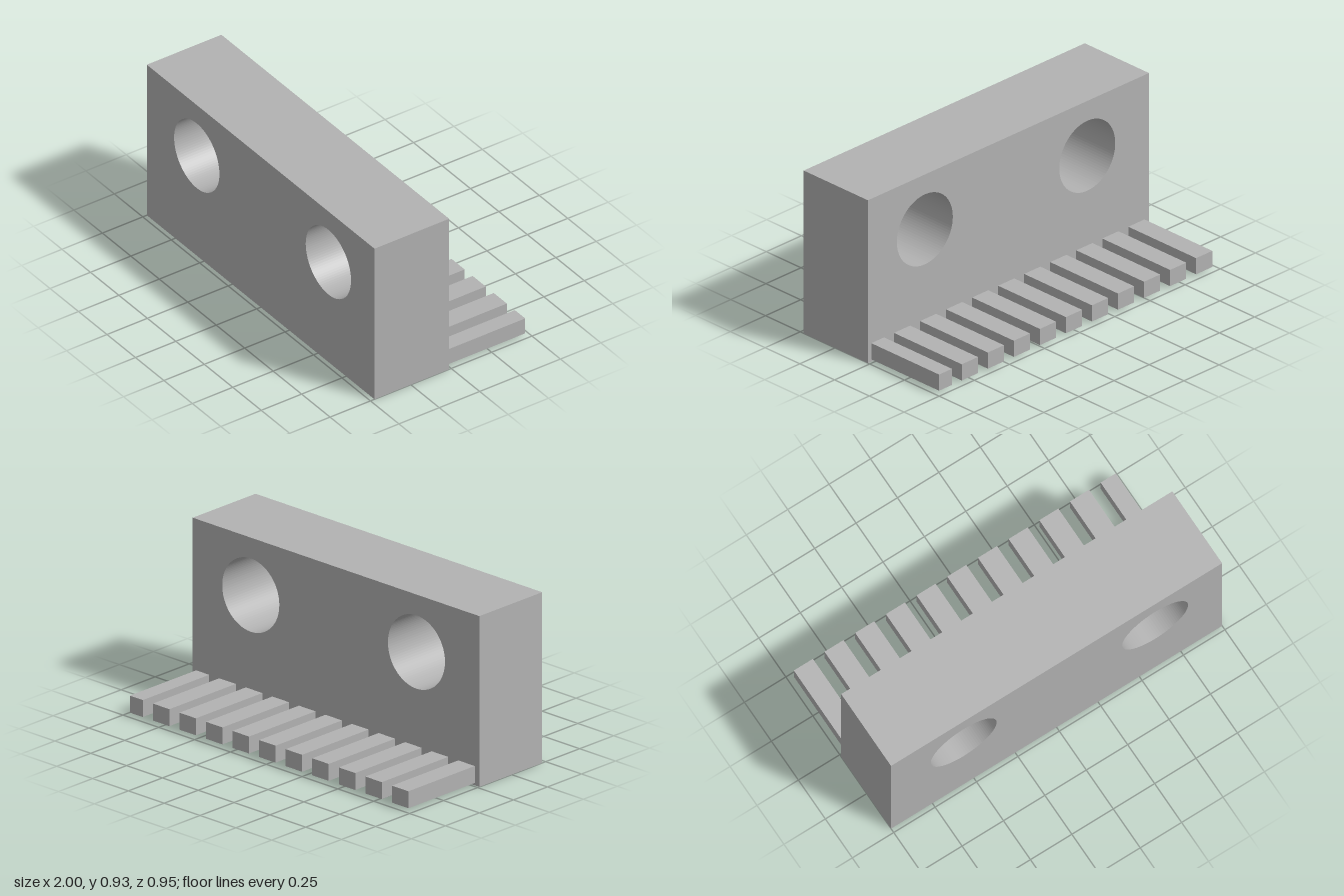
import * as THREE from 'three';

export function createModel() {
  const model = new THREE.Group();
  const grey = new THREE.MeshStandardMaterial({ color: 0xb2b2b2 });
  grey.name = 'grey';

  const height = 0.927, front = 0.475, joint = 0.013, back = -0.475;

  // Thick upright block with two round through holes
  const outline = new THREE.Shape([
    new THREE.Vector2(-1, 0), new THREE.Vector2(1, 0),
    new THREE.Vector2(1, height), new THREE.Vector2(-1, height),
  ]);
  for (const x of [-0.561, 0.595]) {
    outline.holes.push(new THREE.Path().absarc(x, 0.615, 0.199, 0, Math.PI * 2, true));
  }
  const blockGeometry = new THREE.ExtrudeGeometry(outline, {
    depth: front - joint, bevelEnabled: false, curveSegments: 48,
  });
  const block = new THREE.Mesh(blockGeometry, grey);
  block.name = 'block';
  block.position.z = joint;
  model.add(block);

  // Comb of bars along the lower back edge; the last one is narrower
  const comb = new THREE.Group();
  comb.name = 'comb';
  const count = 11, pitch = 0.1853, length = joint - back;
  for (let i = 0; i < count; i++) {
    const width = i === count - 1 ? 0.091 : 0.115;
    const tooth = new THREE.Mesh(new THREE.BoxGeometry(width, 0.092, length), grey);
    tooth.name = `tooth${i + 1}`;
    tooth.position.set(-0.968 + i * pitch + width / 2, 0.059, (joint + back) / 2);
    comb.add(tooth);
  }
  model.add(comb);

  return model;
}
